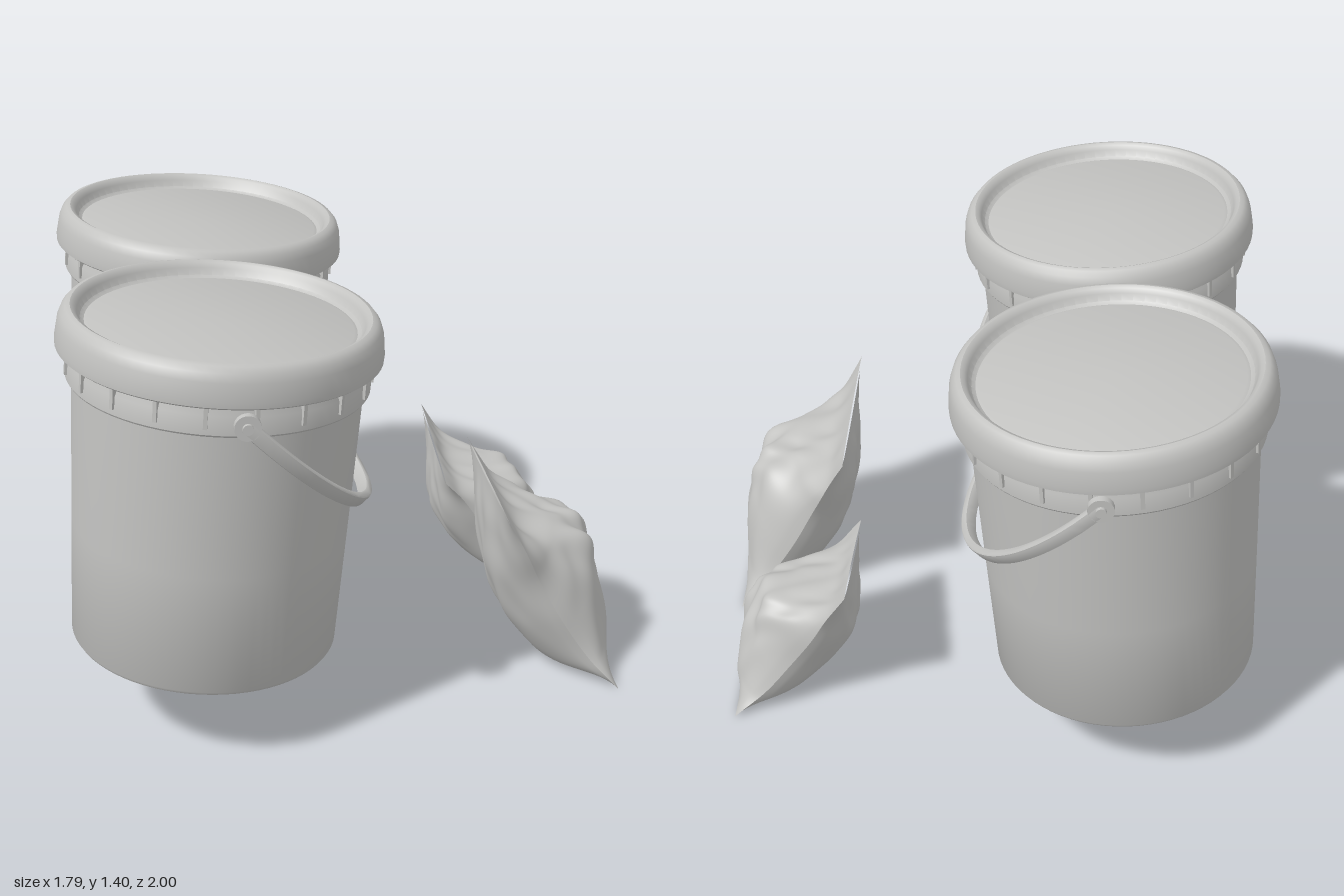
import * as THREE from 'three';
import { toCreasedNormals } from 'three/addons/utils/BufferGeometryUtils.js';

const grey = new THREE.MeshStandardMaterial({ color: 0xc2c2c0 });
grey.name = 'pale grey';

function add(parent, name, geometry) {
  const mesh = new THREE.Mesh(geometry, grey);
  mesh.name = name;
  parent.add(mesh);
  return mesh;
}

const lathe = (points) => toCreasedNormals(
  new THREE.LatheGeometry(points.map(([r, y]) => new THREE.Vector2(r, y)), 72), 0.6);

// Bucket with lid, collar, ribs and swinging handle
function bucket(z) {
  const group = new THREE.Group();
  group.name = 'bucket';
  group.position.set(-0.474, 0.28, z);

  const leaning = new THREE.Group();
  leaning.name = 'leaningBody';
  leaning.rotation.z = -0.08;
  group.add(leaning);

  add(leaning, 'body', lathe([
    [0, 0.018], [0.39, 0.018], [0.395, 0], [0.412, 0], [0.42, 0.012],
    [0.43, 0.4], [0.441, 0.87], [0.441, 0.98],
  ]));
  add(leaning, 'collar', lathe([
    [0.438, 0.868], [0.457, 0.866], [0.461, 0.872], [0.459, 0.93], [0.452, 0.945], [0.452, 0.985],
  ]));
  add(leaning, 'lid', lathe([
    [0.445, 0.97], [0.485, 0.962], [0.493, 0.968], [0.494, 0.985], [0.487, 1.04],
    [0.478, 1.066], [0.464, 1.082], [0.45, 1.086], [0.438, 1.08], [0.43, 1.066],
    [0.42, 1.045], [0.408, 1.038], [0.398, 1.042], [0, 1.042],
  ]));

  // Small stiffening ribs between collar and lid
  for (let i = 0; i < 20; i++) {
    const a = ((i + 0.5) / 20) * Math.PI * 2;
    const rib = add(leaning, 'collarRib', new THREE.BoxGeometry(0.012, 0.075, 0.024));
    rib.position.set(Math.sin(a) * 0.456, 0.928, Math.cos(a) * 0.456);
    rib.rotation.y = a;
  }

  // Handle: half an elliptical ring, swung forward from its pivots
  const pivot = new THREE.Group();
  pivot.name = 'handle';
  pivot.position.set(0.117, 0.9, 0);
  pivot.rotation.z = 0.76;
  group.add(pivot);
  const shape = new THREE.Shape();
  shape.absellipse(0, 0, 0.481, 0.582, Math.PI, Math.PI * 2, false);
  shape.absellipse(0, 0, 0.465, 0.566, Math.PI * 2, Math.PI, true);
  const bar = new THREE.ExtrudeGeometry(shape, {
    depth: 0.03, curveSegments: 40, bevelSize: 0.005, bevelThickness: 0.007, bevelSegments: 2,
  });
  bar.translate(0, 0, -0.015);
  bar.rotateY(Math.PI / 2);
  add(pivot, 'handleBar', toCreasedNormals(bar, 0.7));
  for (const side of [-1, 1]) {
    const parts = [['pivotBoss', 0.028, 0.05, 0.445], ['pivotDisc', 0.039, 0.022, 0.474], ['pivotPin', 0.016, 0.03, 0.481]];
    for (const [name, r, length, at] of parts) {
      const pin = add(pivot, name, new THREE.CylinderGeometry(r, r, length, 20));
      pin.rotation.x = Math.PI / 2;
      pin.position.z = side * at;
    }
  }
  return group;
}

const curve = (points) => new THREE.CatmullRomCurve3(
  points.map(([x, y]) => new THREE.Vector3(x, y, 0)), false, 'centripetal');

// Side outlines of a leaning pillow bag: seam, front and back, from bottom to top
const seam = curve([[0.88, 0.008], [0.79, 0.1], [0.69, 0.25], [0.61, 0.4], [0.55, 0.53], [0.49, 0.64]]);
const front = curve([[0.882, 0.008], [0.892, 0.12], [0.855, 0.36], [0.8, 0.475], [0.69, 0.51], [0.56, 0.55], [0.493, 0.64]]);
const back = curve([[0.878, 0.004], [0.69, 0.008], [0.565, 0.14], [0.49, 0.32], [0.478, 0.5], [0.487, 0.64]]);
const halfWidth = curve([[0.355, 0], [0.315, 0.2], [0.295, 0.45], [0.3, 0.65], [0.325, 0.85], [0.345, 1]]);

// One face of a bag, bulging from its side seams to the given outline
function sheet(outline, isFront, seed) {
  const nu = 56, nv = 64, positions = [], index = [];
  for (let j = 0; j <= nv; j++) {
    const v = j / nv;
    const s = seam.getPoint(v), f = outline.getPoint(v), w = halfWidth.getPoint(v).x;
    for (let i = 0; i <= nu; i++) {
      const u = (i / nu) * 2 - 1;
      const bulge = Math.pow(1 - Math.pow(Math.abs(u), 2.6), 0.75);
      // Soft creases that fade out toward the seams
      const fade = bulge * Math.sin(Math.PI * v);
      const crease =
        0.010 * Math.sin(5 * u + 9 * v + seed + 2 * Math.sin(4 * u - 3 * v)) +
        0.007 * Math.sin(13 * u - 11 * v + 2 * seed + 1.5 * Math.sin(7 * v)) +
        0.005 * Math.sin(8 * u + 27 * v + 2 * Math.sin(6 * u + seed));
      const push = crease * fade * (isFront ? 1 : 0.6);
      positions.push(
        s.x + (f.x - s.x) * bulge + push * (isFront ? 0.8 : -0.8),
        Math.max(0.003, s.y + (f.y - s.y) * bulge + push * 0.5),
        u * w + 0.005 * Math.sin(17 * v + seed) * u * Math.sin(Math.PI * v));
      if (i < nu && j < nv) {
        const a = j * (nu + 1) + i, b = a + 1, c = a + nu + 1, d = c + 1;
        if (isFront) index.push(a, c, b, b, c, d);
        else index.push(a, b, c, b, d, c);
      }
    }
  }
  const geometry = new THREE.BufferGeometry();
  geometry.setAttribute('position', new THREE.Float32BufferAttribute(positions, 3));
  geometry.setIndex(index);
  return geometry;
}

// slant raises one end of the bag's top edge
function bag(x, z, scaleX, scaleY, scaleZ, slant, seed) {
  const group = new THREE.Group();
  group.name = 'bag';
  group.position.set(x, 0, z);
  for (const isFront of [true, false]) {
    const geometry = sheet(isFront ? front : back, isFront, seed);
    const p = geometry.attributes.position;
    for (let i = 0; i < p.count; i++) {
      const y = p.getY(i), zz = p.getZ(i);
      p.setXYZ(i, p.getX(i) * scaleX, y * scaleY * (1 - slant * zz * y), zz * scaleZ);
    }
    geometry.computeVertexNormals();
    add(group, isFront ? 'bagFront' : 'bagBack', geometry);
  }
  return group;
}

export function createModel() {
  const model = new THREE.Group();
  model.name = 'bucketsAndBags';
  model.add(bucket(0.503), bucket(-0.503));
  model.add(bag(0, 0.268, 1, 1, 1, 0, 1));
  model.add(bag(-0.06, -0.37, 1, 0.755, 0.76, 0.42, 4));
  return model;
}
